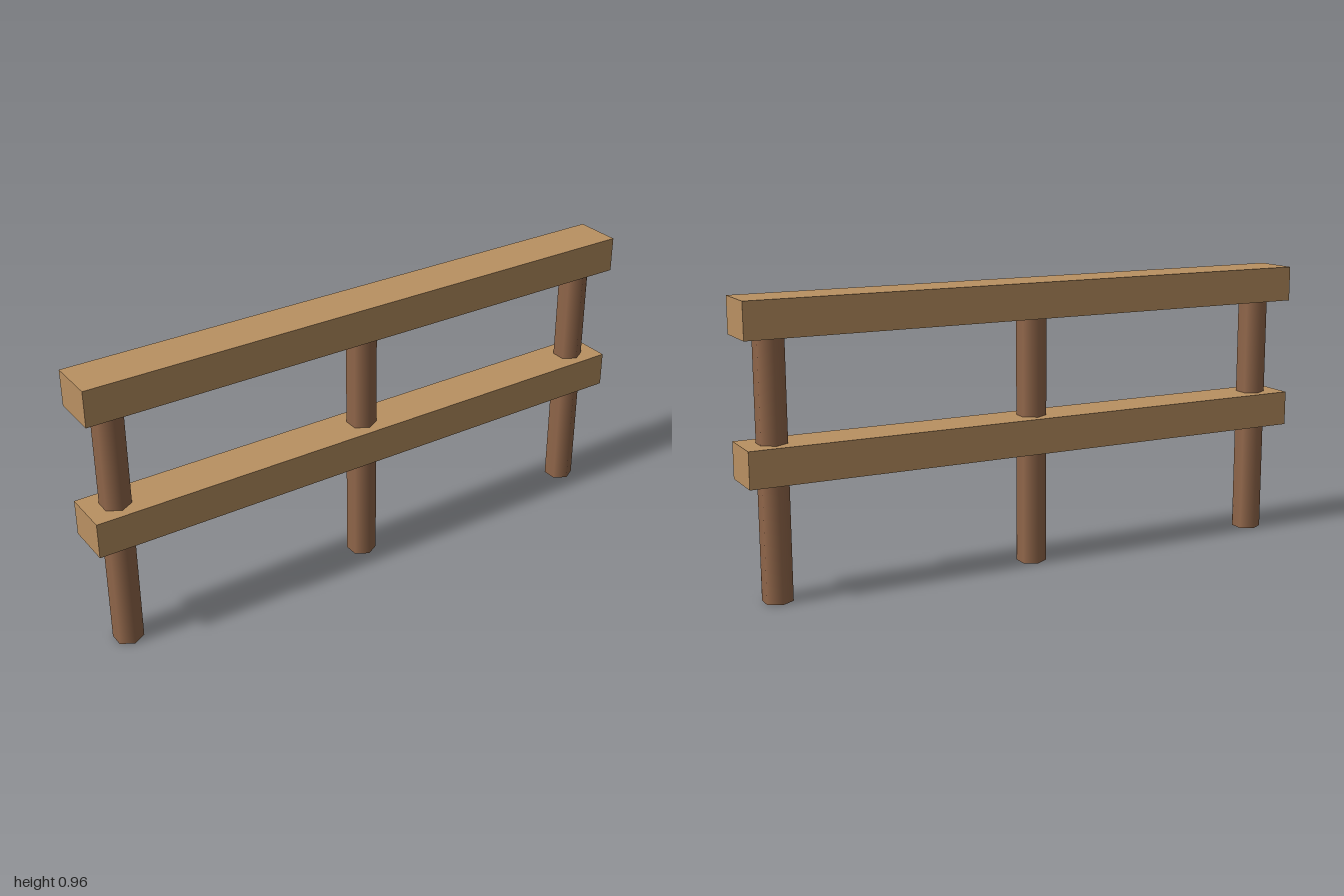
import * as THREE from 'three';

export function createModel() {
  const model = new THREE.Group();
  model.name = 'fence';

  const railWood = new THREE.MeshStandardMaterial({ color: 0xba9162 });
  railWood.name = 'light wood';
  const postWood = new THREE.MeshStandardMaterial({ color: 0x94694c });
  postWood.name = 'dark wood';

  const add = (name, geometry, material, x, y) => {
    const mesh = new THREE.Mesh(geometry, material);
    mesh.name = name;
    mesh.position.set(x, y, 0);
    model.add(mesh);
  };

  // Three smooth-shaded six-sided posts, ending inside the top rail
  const postHeight = 0.9;
  const postGeometry = new THREE.CylinderGeometry(0.05, 0.05, postHeight, 6);
  [['rightPost', -0.9], ['middlePost', 0], ['leftPost', 0.9]].forEach(([name, x]) =>
    add(name, postGeometry, postWood, x, postHeight / 2));

  // Two square-cut rails threaded over the posts
  const railGeometry = new THREE.BoxGeometry(2, 0.119, 0.16);
  add('lowerRail', railGeometry, railWood, 0, 0.446);
  add('topRail', railGeometry, railWood, 0, 0.897);

  return model;
}
